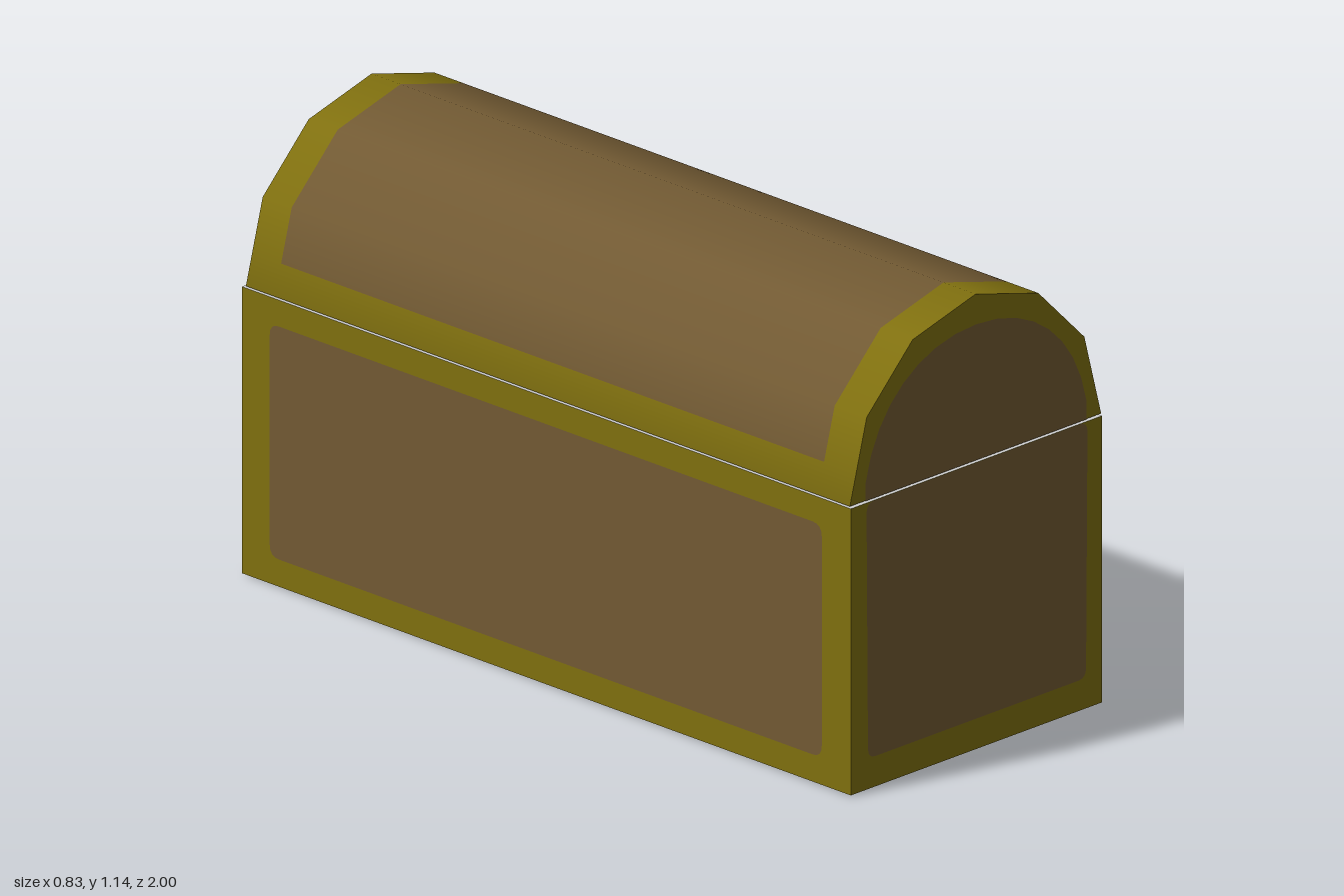
import * as THREE from 'three';

const W = 0.417, BODY_TOP = 0.72, LID_Y = 0.725, R = 0.415;
const Z0 = -0.985, Z1 = 0.995; // lid ends

const gold = new THREE.MeshStandardMaterial({ color: 0x80700f });
gold.name = 'gold trim';
const brown = new THREE.MeshStandardMaterial({ color: 0x725a33 });
brown.name = 'brown wood';
const pale = new THREE.MeshStandardMaterial({ color: 0xd2d2d2 });
pale.name = 'pale base';

function add(group, name, geometry, material) {
  const mesh = new THREE.Mesh(geometry, material);
  mesh.name = name;
  group.add(mesh);
  return mesh;
}

// Flat polygon with softened corners
function panel(points, r) {
  const v = points.map(([x, y]) => new THREE.Vector2(x, y));
  const shape = new THREE.Shape();
  v.forEach((p, i) => {
    const prev = v[(i + v.length - 1) % v.length], next = v[(i + 1) % v.length];
    const a = prev.clone().sub(p).setLength(r).add(p);
    const b = next.clone().sub(p).setLength(r).add(p);
    if (i === 0) shape.moveTo(a.x, a.y); else shape.lineTo(a.x, a.y);
    shape.quadraticCurveTo(p.x, p.y, b.x, b.y);
  });
  shape.closePath();
  return new THREE.ShapeGeometry(shape, 4);
}

const rect = (x0, y0, x1, y1) => [[x0, y0], [x1, y0], [x1, y1], [x0, y1]];

// Half of a twelve-sided barrel, cut into painted cells
function barrel() {
  const at = (t) => { // t counts facets, from 0 on the left to 6 on the right
    const i = Math.min(Math.floor(t), 5), f = t - i;
    const c = [i, i + 1].map((k) => new THREE.Vector2(Math.cos(k * Math.PI / 6), Math.sin(k * Math.PI / 6)));
    return c[0].lerp(c[1], f);
  };
  const ts = [0, 0.37, 0.75, 1, 2, 3, 4, 5, 5.63, 6];
  const zs = [Z0, -0.89, -0.08, 0.09, 0.89, Z1];
  const pos = [], nor = [], index = [];
  for (const t of ts) {
    const p = at(t), n = p.clone().normalize();
    for (const z of zs) {
      pos.push(p.x * R, LID_Y + p.y * R, z);
      nor.push(n.x, n.y, 0);
    }
  }
  const geo = new THREE.BufferGeometry();
  for (let i = 0; i < ts.length - 1; i++) {
    for (let j = 0; j < zs.length - 1; j++) {
      const a = i * zs.length + j, b = a + zs.length;
      const end = j === 0 || j === zs.length - 2;
      const rim = i === 0 || i === ts.length - 2;
      const latch = i === 1 && j === 2;
      geo.addGroup(index.length, 6, end || rim || latch ? 0 : 1);
      index.push(a, b, a + 1, b, b + 1, a + 1);
    }
  }
  geo.setAttribute('position', new THREE.Float32BufferAttribute(pos, 3));
  geo.setAttribute('normal', new THREE.Float32BufferAttribute(nor, 3));
  geo.setIndex(index);
  return geo;
}

function makeBody() {
  const body = new THREE.Group();
  body.name = 'body';
  const box = new THREE.BoxGeometry(2 * W - 0.004, BODY_TOP - 0.003, 1.996);
  box.translate(0, (BODY_TOP + 0.003) / 2, 0);
  add(body, 'bodyBox', box, [gold, gold, pale, pale, gold, gold]);

  // Long sides; the left one leaves room for the latch plate
  const notched = [[-0.905, 0.072], [0.905, 0.072], [0.905, 0.655], [0.22, 0.655],
    [0.22, 0.515], [-0.14, 0.515], [-0.14, 0.655], [-0.905, 0.655]];
  add(body, 'leftPanel', panel(notched, 0.02).rotateY(Math.PI / 2).translate(W, 0, 0), brown);
  add(body, 'rightPanel', panel(rect(-0.905, 0.072, 0.905, 0.655), 0.03)
    .rotateY(-Math.PI / 2).translate(-W, 0, 0), brown);

  // End panels run up to the seam
  for (const s of [1, -1]) {
    const end = panel([[-0.36, 0.08], [0.36, 0.08], [0.365, BODY_TOP], [-0.365, BODY_TOP]], 0.025);
    if (s < 0) end.rotateY(Math.PI);
    add(body, s > 0 ? 'frontPanel' : 'backPanel', end.translate(0, 0, s), brown);
  }
  return body;
}

function makeLid() {
  const lid = new THREE.Group();
  lid.name = 'lid';
  add(lid, 'barrel', barrel(), [gold, brown]);

  const outline = [];
  for (let k = 0; k <= 6; k++) {
    const a = k * Math.PI / 6;
    outline.push(new THREE.Vector2(R * Math.cos(a), LID_Y + R * Math.sin(a)));
  }
  // Arched inset on each end
  const arch = new THREE.Shape();
  arch.moveTo(0.365, LID_Y);
  arch.lineTo(0.365, 0.77);
  arch.bezierCurveTo(0.33, 0.95, 0.19, 1.065, 0, 1.065);
  arch.bezierCurveTo(-0.19, 1.065, -0.33, 0.95, -0.365, 0.77);
  arch.lineTo(-0.365, LID_Y);
  for (const s of [1, -1]) {
    const side = s > 0 ? 'front' : 'back';
    const cap = new THREE.ShapeGeometry(new THREE.Shape(outline));
    const inset = new THREE.ShapeGeometry(arch, 8);
    if (s < 0) [cap, inset].forEach((g) => g.rotateY(Math.PI));
    const z = s > 0 ? Z1 : Z0;
    add(lid, side + 'LidEnd', cap.translate(0, 0, z), gold);
    add(lid, side + 'LidPanel', inset.translate(0, 0, z + s * 0.002), brown);
  }
  const under = new THREE.PlaneGeometry(2 * R, Z1 - Z0).rotateX(Math.PI / 2);
  add(lid, 'lidUnderside', under.translate(0, LID_Y, (Z0 + Z1) / 2), pale);
  return lid;
}

// Gold-edged brown patches painted on the underside
function makeUnderside() {
  const under = new THREE.Group();
  under.name = 'undersidePatches';
  const patches = [
    [0.05, -0.97, 0.395, -0.69], [0.05, -0.59, 0.395, -0.32], [0.05, -0.17, 0.395, 0.10],
    [0.035, 0.36, 0.395, 0.87], [-0.395, 0.36, -0.04, 0.87],
  ];
  const layers = [[0, 0.0015, gold], [0.018, 0, brown]];
  for (const [inset, y, material] of layers) {
    for (const [x0, z0, x1, z1] of patches) {
      const g = panel(rect(x0 + inset, z0 + inset, x1 - inset, z1 - inset), 0.03);
      add(under, 'squarePatch', g.rotateX(Math.PI / 2).translate(0, y, 0), material);
    }
    const x0 = -0.285 + inset, x1 = -0.02 - inset, tip = 0.2 - inset, mid = (x0 + x1) / 2;
    const s = new THREE.Shape();
    s.moveTo(x0, -0.6 + inset);
    s.lineTo(x1, -0.6 + inset);
    s.lineTo(x1, -0.1);
    s.bezierCurveTo(x1, 0.08, mid + 0.07, tip, mid, tip);
    s.bezierCurveTo(mid - 0.07, tip, x0, 0.08, x0, -0.1);
    add(under, 'archPatch', new THREE.ShapeGeometry(s, 8).rotateX(Math.PI / 2).translate(0, y, 0), material);
  }
  return under;
}

export function createModel() {
  const chest = new THREE.Group();
  chest.name = 'chest';
  chest.add(makeBody(), makeLid(), makeUnderside());
  return chest;
}
